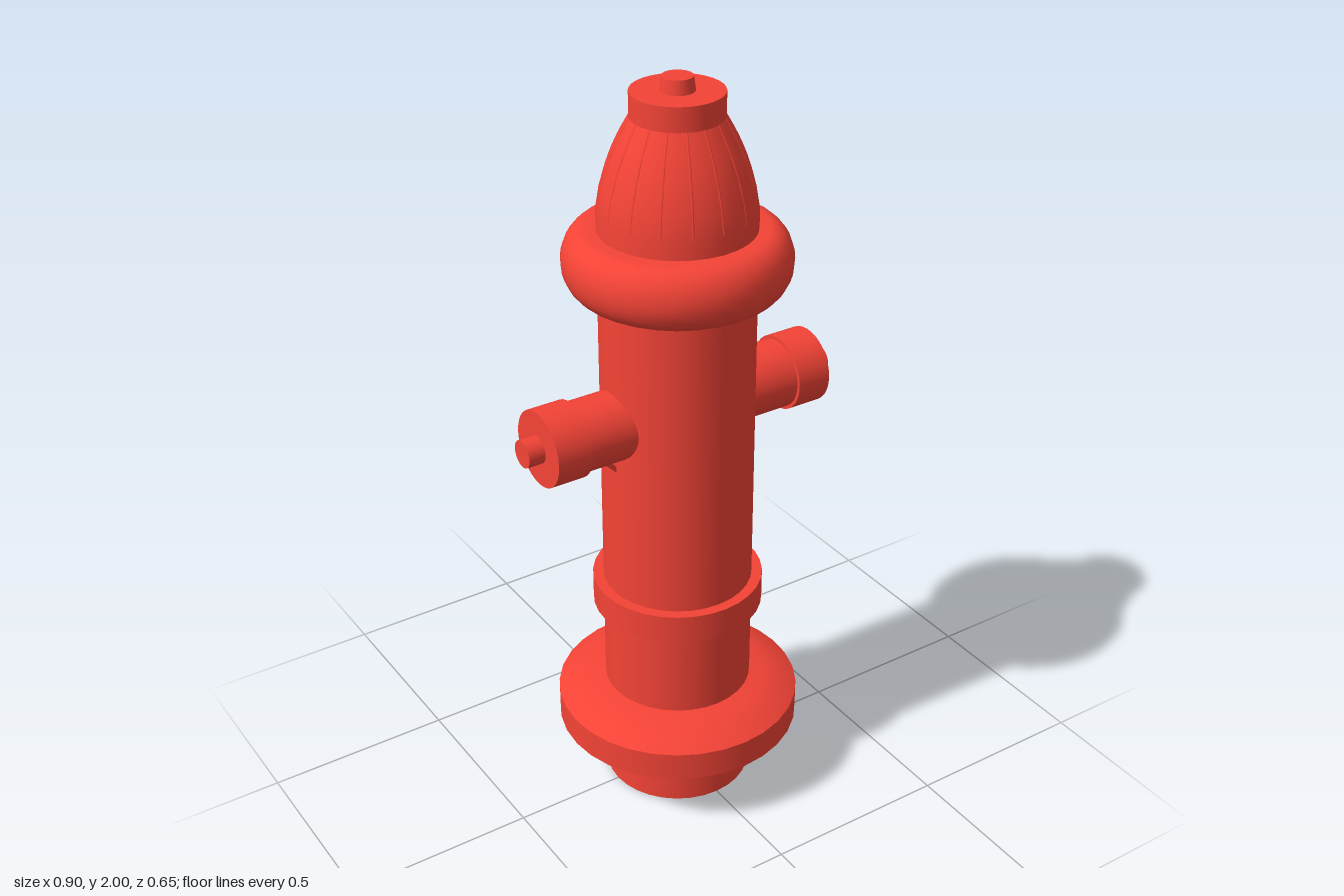
import * as THREE from 'three';

export function createModel() {
  const model = new THREE.Group();
  model.name = 'hydrant';
  const red = new THREE.MeshStandardMaterial({ color: 0xf44336 });
  const SIDES = 32;

  const add = (parent, name, geometry) => {
    const mesh = new THREE.Mesh(geometry, red);
    mesh.name = name;
    parent.add(mesh);
    return mesh;
  };
  const points = (list) => list.map(([x, y]) => new THREE.Vector2(x, y));
  const lathe = (name, list) => add(model, name, new THREE.LatheGeometry(points(list), SIDES));
  const drum = (name, r, y0, y1, rTop = r) => {
    const mesh = add(model, name, new THREE.CylinderGeometry(rTop, r, y1 - y0, SIDES));
    mesh.position.y = (y0 + y1) / 2;
    return mesh;
  };

  // Barrel, its band and the chamfered base flange
  drum('barrel', 0.197, 0, 1.6);
  drum('band', 0.225, 0.55, 0.63);
  lathe('baseFlange', [
    [0.19, 0.13], [0.24, 0.138], [0.285, 0.152], [0.326, 0.18], [0.326, 0.18],
    [0.326, 0.26], [0.326, 0.26], [0.285, 0.285], [0.24, 0.3], [0.19, 0.307],
  ]);

  // Rounded collar under the bonnet
  const collar = [[0.19, 1.46]];
  for (let i = 0; i <= 12; i++) {
    const a = -Math.PI / 2 + (i / 12) * Math.PI;
    collar.push([0.225 + 0.06 * Math.cos(a), 1.541 + 0.081 * Math.sin(a)]);
  }
  collar.push([0.19, 1.622]);
  lathe('collar', collar);

  // Domed bonnet with fine raised ribs
  const dome = [
    [0.197, 1.6], [0.197, 1.67], [0.187, 1.73], [0.169, 1.79],
    [0.146, 1.845], [0.115, 1.903],
  ];
  lathe('bonnet', dome);
  const ribPath = new THREE.CatmullRomCurve3(
    dome.slice(1).map(([r, y]) => new THREE.Vector3(r - 0.003, y, 0)));
  const ribGeometry = new THREE.TubeGeometry(ribPath, 12, 0.004, 6);
  for (let i = 0; i < 16; i++) {
    add(model, 'bonnetRib', ribGeometry).rotation.y = (i / 16) * Math.PI * 2;
  }

  // Top cap and operating nut
  drum('topCap', 0.115, 1.9, 1.965);
  drum('topNut', 0.044, 1.96, 2, 0.038);

  // Matching outlets on both sides
  for (const side of [1, -1]) {
    const outlet = new THREE.Group();
    outlet.name = side > 0 ? 'leftOutlet' : 'rightOutlet';
    outlet.position.y = 1.132;
    outlet.rotation.y = side > 0 ? 0 : Math.PI;
    model.add(outlet);
    const pipe = (name, r, x0, x1) => {
      const mesh = add(outlet, name, new THREE.CylinderGeometry(r, r, x1 - x0, SIDES));
      mesh.rotation.z = -Math.PI / 2;
      mesh.position.x = (x0 + x1) / 2;
    };
    pipe('outletPipe', 0.091, 0.12, 0.32);
    pipe('outletCap', 0.1, 0.31, 0.405);
    pipe('outletNut', 0.036, 0.4, 0.45);
    // Small diagonal strut beneath the pipe
    const strut = add(outlet, 'strut', new THREE.BoxGeometry(0.075, 0.012, 0.038));
    strut.position.set(0.215, -0.1, 0);
    strut.rotation.z = Math.PI / 4;
  }
  return model;
}
